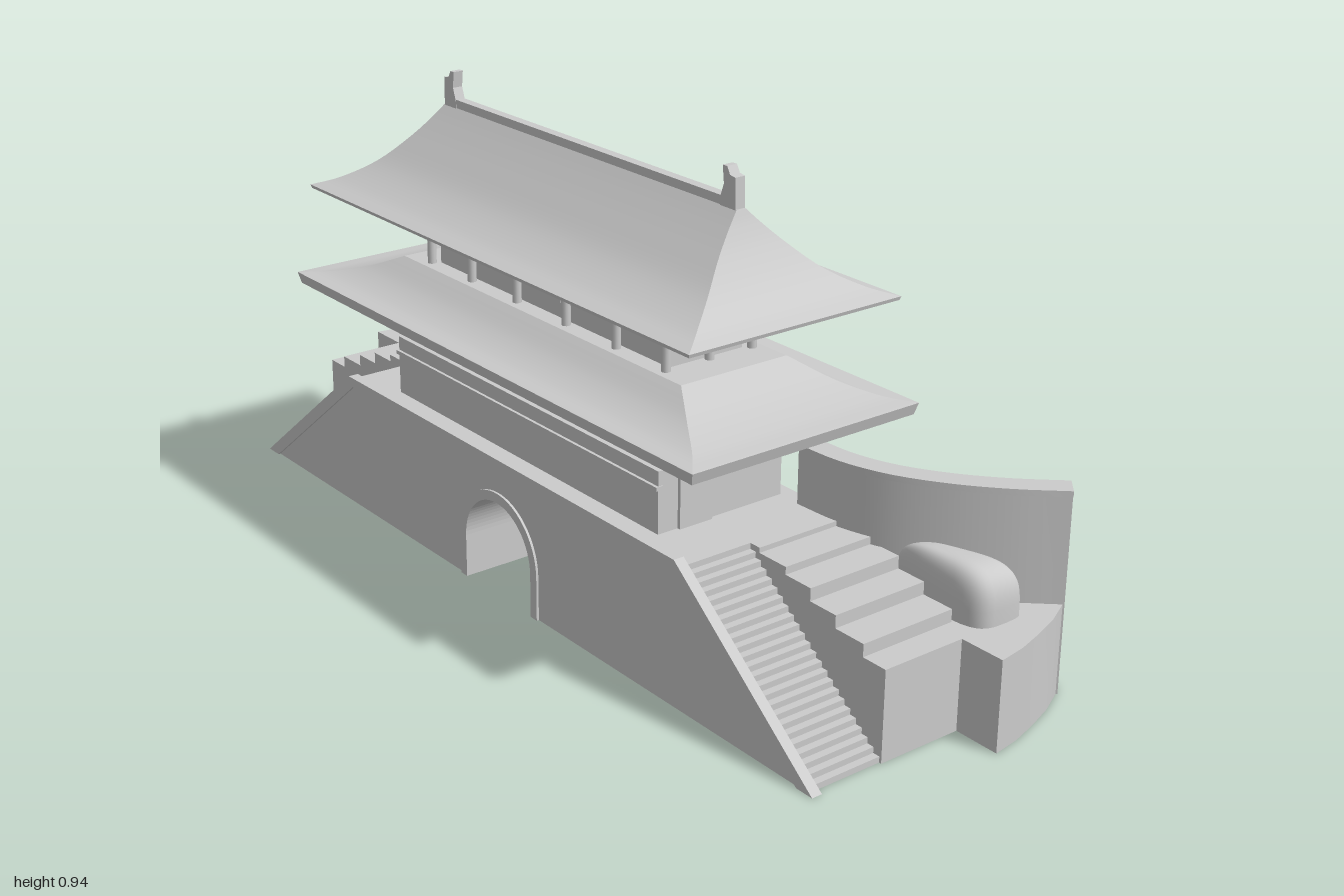
import * as THREE from 'three';
import { mergeGeometries, toCreasedNormals } from 'three/addons/utils/BufferGeometryUtils.js';

const CZ = 0.065; // z of the hall's centre line

export function createModel() {
  const model = new THREE.Group();
  const mat = new THREE.MeshStandardMaterial({ color: 0xcccccc, side: THREE.DoubleSide });
  const add = (name, geo, parent = model) => {
    const mesh = new THREE.Mesh(geo, mat);
    mesh.name = name;
    parent.add(mesh);
    return mesh;
  };
  const group = (name) => {
    const g = new THREE.Group();
    g.name = name;
    model.add(g);
    return g;
  };
  // box given by its x, y and z limits
  const box = (name, x0, x1, y0, y1, z0, z1, parent) =>
    add(name, new THREE.BoxGeometry(Math.abs(x1 - x0), y1 - y0, z1 - z0)
      .translate((x0 + x1) / 2, (y0 + y1) / 2, (z0 + z1) / 2), parent);
  const shapeOf = (pts) => new THREE.Shape(pts.map(([x, y]) => new THREE.Vector2(x, y)));
  // elevation shape pushed from z0 to z1
  const elevation = (shape, z0, z1) =>
    new THREE.ExtrudeGeometry(shape, { depth: z1 - z0, bevelEnabled: false, curveSegments: 20 }).translate(0, 0, z0);
  // floor-plan outline [x, z] raised from y0 to y1
  const plan = (pts, y0, y1) => toCreasedNormals(
    new THREE.ExtrudeGeometry(shapeOf(pts.map(([x, z]) => [x, -z])), { depth: y1 - y0, bevelEnabled: false })
      .rotateX(-Math.PI / 2).translate(0, y0, 0), 0.6);

  // gate passage: wall outline with an arched notch in the bottom edge
  const archedWall = (foot, top, h) => {
    const s = new THREE.Shape();
    s.moveTo(-foot, 0).lineTo(-0.11, 0).lineTo(-0.11, 0.09);
    s.absarc(0, 0.09, 0.11, Math.PI, 0, true);
    s.lineTo(0.11, 0).lineTo(foot, 0).lineTo(top, h).lineTo(-top, h);
    return s;
  };
  const rim = new THREE.Shape();
  rim.moveTo(-0.13, 0).lineTo(-0.13, 0.09);
  rim.absarc(0, 0.09, 0.13, Math.PI, 0, true);
  rim.lineTo(0.13, 0).lineTo(0.11, 0).lineTo(0.11, 0.09);
  rim.absarc(0, 0.09, 0.11, 0, Math.PI, false);
  rim.lineTo(-0.11, 0);

  add('gateBase', elevation(archedWall(0.54, 0.54, 0.28), -0.1, 0.256));
  add('frontWall', elevation(archedWall(0.91, 0.54, 0.288), 0.256, 0.271));
  add('frontArchRim', elevation(rim, 0.26, 0.276));
  add('backArchRim', elevation(rim, -0.106, -0.09));
  add('frontCoping', elevation(shapeOf([[-0.915, 0], [-0.545, 0.292], [0.545, 0.292], [0.915, 0],
    [0.875, 0], [0.53, 0.272], [-0.53, 0.272], [-0.875, 0]]), 0.254, 0.276));

  // centre line of the curved rear wall
  const wallLine = new THREE.CatmullRomCurve3([[0.48, -0.083], [0.58, -0.09], [0.67, -0.118], [0.76, -0.172],
    [0.84, -0.24], [0.912, -0.318]].map(([x, z]) => new THREE.Vector3(x, 0, z)));
  const offsetLine = (d) => Array.from({ length: 21 }, (_, i) => {
    const p = wallLine.getPointAt(i / 20), t = wallLine.getTangentAt(i / 20);
    return [p.x - t.z * d, p.z + t.x * d];
  });
  const band = (w) => [...offsetLine(w / 2), ...offsetLine(-w / 2).reverse()];

  for (const s of [1, -1]) {
    const g = group(s > 0 ? 'leftWing' : 'rightWing');
    const flip = (pts) => pts.map(([x, y]) => [s * x, y]);

    // main flight of steps
    const flight = [[0.53, 0], [0.9, 0]], n = 24;
    for (let i = 0; i < n; i++) {
      const x = 0.9 - (0.36 * i) / n, y = (0.28 * (i + 1)) / n;
      flight.push([x, y], [x - 0.36 / n, y]);
    }
    flight.push([0.53, 0.28]);
    add('stairs', elevation(shapeOf(flip(flight)), 0.11, 0.256), g);

    // stepped terrace between the stairs and the bastion
    add('terrace', elevation(shapeOf(flip([[0.52, 0], [0.905, 0], [0.905, 0.18], [0.85, 0.18], [0.85, 0.205],
      [0.78, 0.205], [0.78, 0.23], [0.715, 0.23], [0.715, 0.255], [0.65, 0.255], [0.65, 0.27], [0.58, 0.27],
      [0.58, 0.28], [0.52, 0.28]])), -0.1, 0.11), g);

    add('bastion', plan(flip([[0.52, -0.07], [1, -0.07], [0.99, -0.13], [0.972, -0.19], [0.95, -0.25],
      [0.918, -0.312], ...offsetLine(0).reverse()]), 0, 0.18), g);
    add('curvedWall', plan(flip(band(0.034)), 0, 0.392), g);
    add('curvedWallCap', plan(flip(band(0.046)), 0.39, 0.402), g);

    // rounded mound, its back following the curved wall
    const mound = new THREE.SphereGeometry(1, 32, 14, 0, Math.PI * 2, 0, Math.PI / 2);
    const p = mound.attributes.position;
    const sq = (v) => Math.sign(v) * Math.pow(Math.abs(v), 0.55);
    for (let i = 0; i < p.count; i++) {
      const x = sq(p.getX(i)), t = (1 - sq(p.getZ(i))) / 2;
      p.setXYZ(i, s * 0.8 + 0.11 * x, 0.178 + 0.106 * sq(p.getY(i)), -0.105 - t * (0.085 + 0.05 * s * x));
    }
    mound.computeVertexNormals();
    add('mound', mound, g);

    // side door of the podium with its small canopy
    box('sideDoor', s * 0.425, s * 0.437, 0.28, 0.385, 0.1, 0.175, g);
    add('sideCanopy', new THREE.CylinderGeometry(0.6, 0.85, 1, 16).scale(0.035, 0.016, 0.055)
      .translate(s * 0.468, 0.412, 0.138), g);
    box('canopyArm', s * 0.42, s * 0.47, 0.396, 0.406, 0.115, 0.16, g);
  }

  // podium and the two storeys
  box('podium', -0.43, 0.43, 0.27, 0.403, -0.07, 0.22);
  box('podiumMoulding', -0.432, 0.432, 0.366, 0.374, 0.21, 0.226);
  box('lowerHall', -0.39, 0.39, 0.4, 0.475, -0.04, 0.17);
  box('upperHall', -0.37, 0.37, 0.55, 0.68, -0.02, 0.15);

  // columns with crossed bracket arms around a storey
  const storey = (name, xs, hz, y0, y1) => {
    const g = group(name);
    const column = (x, z) => {
      add('column', new THREE.CylinderGeometry(0.009, 0.009, y1 - y0, 12).translate(x, (y0 + y1) / 2, z), g);
      box('bracketBlock', x - 0.012, x + 0.012, y1 - 0.03, y1 - 0.018, z - 0.012, z + 0.012, g);
      box('bracketArm', x - 0.03, x + 0.03, y1 - 0.018, y1, z - 0.009, z + 0.009, g);
      box('bracketArm', x - 0.009, x + 0.009, y1 - 0.018, y1, z - 0.03, z + 0.03, g);
    };
    for (const s of [1, -1]) {
      for (const x of xs) for (const m of [1, -1]) column(m * x, CZ + s * hz);
      column(s * xs[0], CZ);
      box('beam', -xs[0], xs[0], y1 - 0.014, y1 + 0.004, CZ + s * hz - 0.006, CZ + s * hz + 0.006, g);
      box('beam', s * xs[0] - 0.006, s * xs[0] + 0.006, y1 - 0.014, y1 + 0.004, CZ - hz, CZ + hz, g);
    }
  };
  storey('lowerColumns', [0.4, 0.245, 0.085], 0.125, 0.4, 0.468);
  storey('upperColumns', [0.38, 0.235, 0.08], 0.1, 0.55, 0.673);

  // window panels of the upper storey
  const panels = group('windowPanels');
  for (const s of [1, -1]) {
    const z = CZ + s * 0.085;
    for (const x of [-0.305, -0.158, 0, 0.158, 0.305])
      box('window', x - 0.05, x + 0.05, 0.597, 0.655, z - 0.006, z + 0.006, panels);
    for (const d of [0.045, -0.045])
      box('sideWindow', s * 0.364, s * 0.377, 0.597, 0.655, CZ + d - 0.036, CZ + d + 0.036, panels);
  }

  // four-sided surface through rings [y, half x, half z], sharp at the hips
  const loft = (rings) => {
    const sides = [[[-1, 1], [1, 1]], [[1, 1], [1, -1]], [[1, -1], [-1, -1]], [[-1, -1], [-1, 1]]];
    return mergeGeometries(sides.map((ends) => {
      const pos = [], idx = [];
      rings.forEach(([y, hx, hz], i) => {
        for (const [a, b] of ends) pos.push(a * hx, y, CZ + b * hz);
        const k = 2 * i;
        if (i) idx.push(k - 2, k - 1, k + 1, k - 2, k + 1, k);
      });
      const g = new THREE.BufferGeometry();
      g.setAttribute('position', new THREE.Float32BufferAttribute(pos, 3));
      g.setIndex(idx);
      g.computeVertexNormals();
      return g;
    }));
  };
  const smooth = (rings) => new THREE.CatmullRomCurve3(rings.map((r) => new THREE.Vector3(...r)))
    .getPoints(24).map((v) => v.toArray());
  const roof = (name, soffit, fascia, slope) => {
    const g = group(name);
    add('soffit', loft([[soffit[0], 0.001, 0.001], soffit, fascia]), g);
    add('fascia', loft([fascia, slope[0]]), g);
    add('tiles', loft(smooth(slope)), g);
    const [y, hx, hz] = slope[slope.length - 1];
    add('roofTop', loft([[y, hx, hz], [y, 0.001, 0.001]]), g);
  };
  roof('lowerRoof', [0.466, 0.585, 0.195], [0.481, 0.645, 0.255],
    [[0.504, 0.652, 0.26], [0.511, 0.6, 0.218], [0.53, 0.53, 0.172], [0.565, 0.45, 0.122]]);
  roof('upperRoof', [0.672, 0.56, 0.185], [0.692, 0.613, 0.238],
    [[0.699, 0.615, 0.24], [0.715, 0.577, 0.194], [0.75, 0.53, 0.132], [0.8, 0.49, 0.075],
      [0.84, 0.468, 0.034], [0.865, 0.458, 0.01]]);

  // ridge with upturned end ornaments
  box('ridge', -0.455, 0.455, 0.855, 0.882, CZ - 0.01, CZ + 0.01);
  for (const s of [1, -1])
    add('ridgeEnd', elevation(shapeOf([[0.456, 0.86], [0.454, 0.922], [0.44, 0.924], [0.432, 0.938],
      [0.42, 0.938], [0.424, 0.905], [0.415, 0.88], [0.415, 0.86]].map(([x, y]) => [s * x, y])), CZ - 0.011, CZ + 0.011));

  return model;
}
